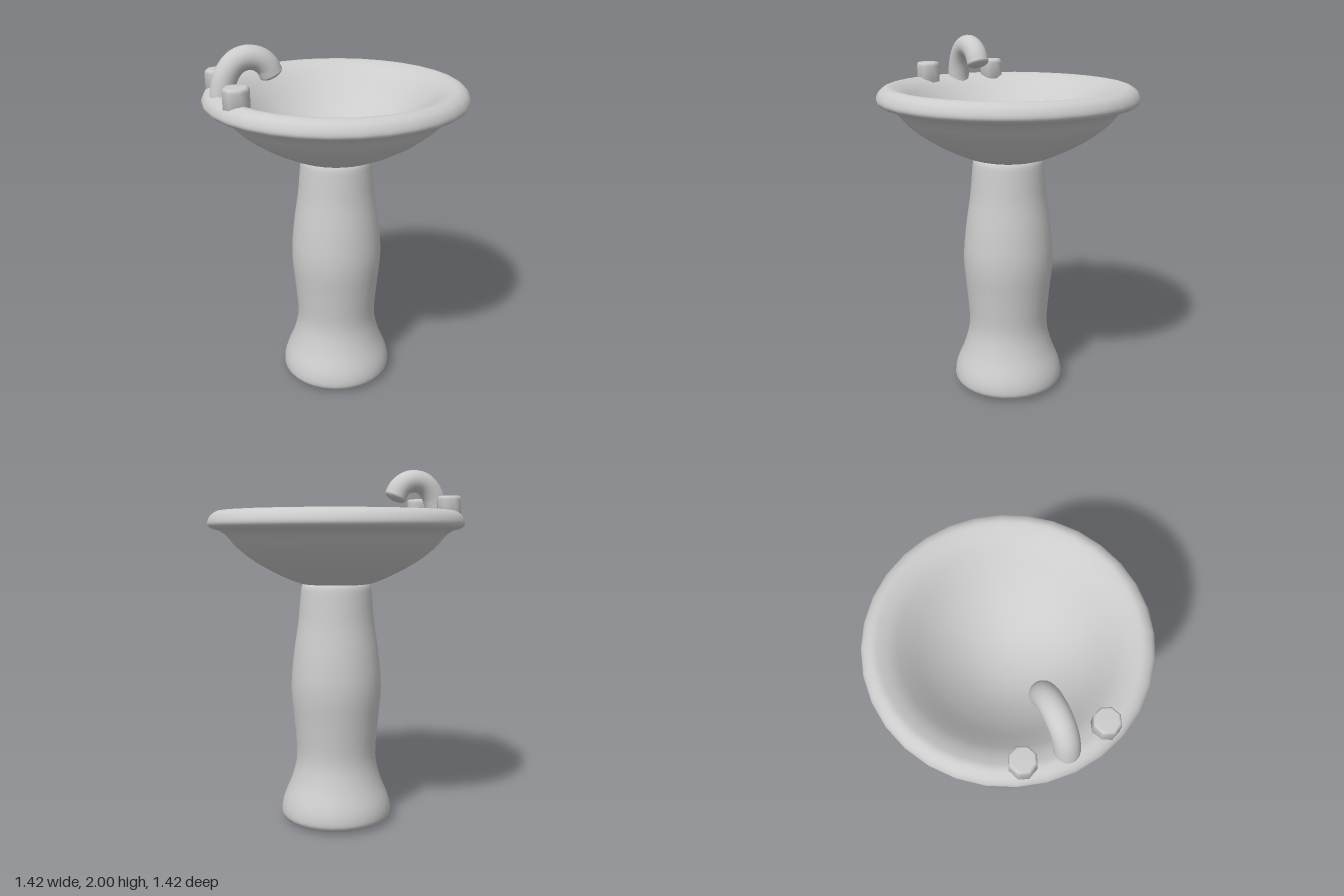
import * as THREE from 'three';

const material = new THREE.MeshStandardMaterial({ color: 0xcccccc });

function addMesh(parent, name, geometry) {
  const mesh = new THREE.Mesh(geometry, material);
  mesh.name = name;
  parent.add(mesh);
  return mesh;
}

const toPoints = (list) => list.map(([x, y]) => new THREE.Vector2(x, y));

// Smooth lathe through a few profile points [radius, height]
function smoothLathe(list, samples, sides) {
  const points = new THREE.SplineCurve(toPoints(list)).getPoints(samples);
  points.forEach((p) => { p.x = Math.max(p.x, 0); });
  return new THREE.LatheGeometry(points, sides);
}

export function createModel() {
  const sink = new THREE.Group();
  sink.name = 'pedestalSink';

  // Pedestal: flared foot, narrow ankle, swelling column
  addMesh(sink, 'pedestal', smoothLathe([
    [0, 0], [0.15, 0], [0.27, 0.007], [0.308, 0.03], [0.316, 0.065], [0.302, 0.13],
    [0.254, 0.25], [0.227, 0.38], [0.238, 0.56], [0.256, 0.77], [0.242, 0.96],
    [0.216, 1.14], [0.203, 1.28], [0.193, 1.35], [0.17, 1.375],
  ], 56, 32));

  // Basin: outer bowl, soft rim and gently sloping inner bowl in one profile
  addMesh(sink, 'basin', smoothLathe([
    [0, 1.36], [0.1, 1.36], [0.19, 1.362], [0.31, 1.408], [0.45, 1.485], [0.55, 1.563],
    [0.605, 1.625], [0.645, 1.655], [0.69, 1.668], [0.71, 1.695], [0.692, 1.738], [0.65, 1.762],
    [0.605, 1.753], [0.555, 1.728], [0.5, 1.683], [0.4, 1.592], [0.3, 1.52],
    [0.2, 1.468], [0.1, 1.438], [0, 1.428],
  ], 76, 32));

  // Faucet: arched spout with a rounded tip
  const faucet = new THREE.Group();
  faucet.name = 'faucet';
  sink.add(faucet);
  const path = new THREE.CatmullRomCurve3([
    [-0.616, 1.68], [-0.61, 1.77], [-0.584, 1.858], [-0.535, 1.917], [-0.475, 1.937],
    [-0.415, 1.924], [-0.374, 1.89], [-0.354, 1.85],
  ].map(([x, y]) => new THREE.Vector3(x, y, 0)));
  const radius = 0.063;
  addMesh(faucet, 'spout', new THREE.TubeGeometry(path, 32, radius, 20));
  const tip = addMesh(faucet, 'spoutTip',
    new THREE.SphereGeometry(radius, 20, 6, 0, Math.PI * 2, 0, Math.PI / 2));
  tip.scale.y = 0.4;
  tip.position.copy(path.getPoint(1));
  tip.quaternion.setFromUnitVectors(new THREE.Vector3(0, 1, 0), path.getTangent(1));

  // Tap knobs: eight-sided with a softened top edge
  const knobProfile = toPoints([
    [0, 1.68], [0.069, 1.68], [0.069, 1.825], [0.066, 1.837], [0.06, 1.843], [0.055, 1.845], [0, 1.845],
  ]);
  for (const [name, side] of [['leftKnob', 1], ['rightKnob', -1]]) {
    const knob = addMesh(sink, name, new THREE.LatheGeometry(knobProfile, 8));
    knob.position.set(-0.587, 0, side * 0.21);
  }

  return sink;
}
